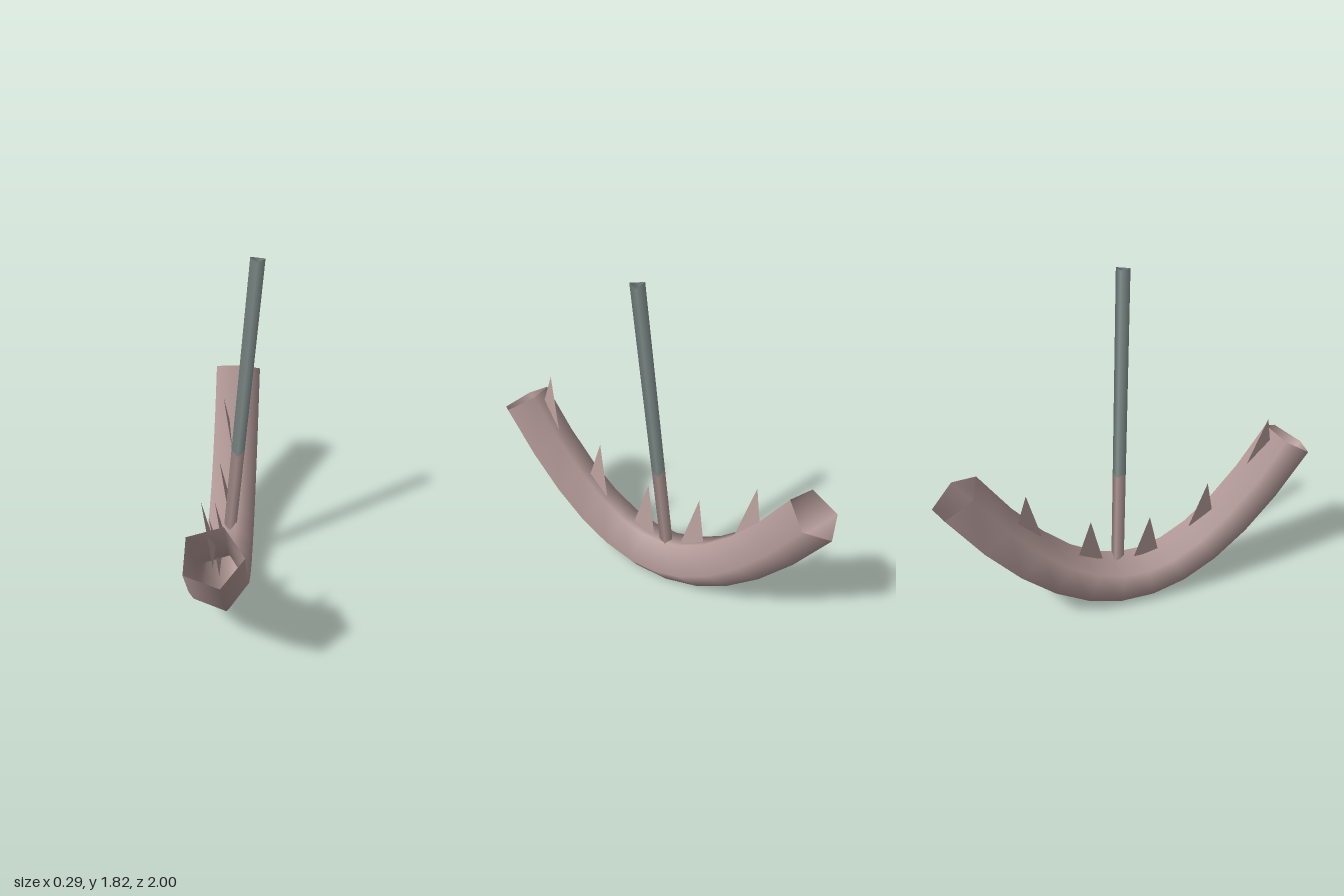
import * as THREE from 'three';

const pink = new THREE.MeshStandardMaterial({ name: 'dusty pink', color: 0xb59c9a, side: THREE.DoubleSide });
const grey = new THREE.MeshStandardMaterial({ name: 'teal grey', color: 0x8a9996, side: THREE.DoubleSide });

const CENTRE_X = -0.034; // middle plane of the curved body
const END_Z = 0.887, LOW_Y = 0.128, RISE = 0.9;
const bodyY = z => LOW_Y + RISE * z * z;

function add(group, name, geometry, material) {
  const mesh = new THREE.Mesh(geometry, material);
  mesh.name = name;
  group.add(mesh);
}

export function createModel() {
  const group = new THREE.Group();
  group.name = 'spikedArcWithPole';

  // Five-sided open tube along a parabola, rings evenly spaced in z
  const endY = bodyY(END_Z);
  const arc = new THREE.QuadraticBezierCurve3(
    new THREE.Vector3(CENTRE_X, endY, END_Z),
    new THREE.Vector3(CENTRE_X, 2 * LOW_Y - endY, 0),
    new THREE.Vector3(CENTRE_X, endY, -END_Z));
  arc.getUtoTmapping = u => u;
  add(group, 'curvedBody', new THREE.TubeGeometry(arc, 11, 0.141, 5), pink);

  // Row of flat spikes leaning towards -x
  for (let i = -2; i <= 2; i++) {
    const z = 0.085 + i * 0.3225, y = bodyY(z);
    const spike = new THREE.BufferGeometry().setFromPoints([
      new THREE.Vector3(-0.037, y + 0.1, z + 0.075),
      new THREE.Vector3(-0.037, y + 0.1, z - 0.075),
      new THREE.Vector3(-0.09, y + 0.397, z)]);
    spike.computeVertexNormals();
    add(group, 'spike' + (i + 3), spike, pink);
  }

  // Leaning three-sided open pole in two colours
  const foot = new THREE.Vector3(-0.025, 0.2, -0.08);
  const tip = new THREE.Vector3(0.11, 1.817, 0.005);
  const joint = foot.clone().lerp(tip, 0.345);
  const pole = (a, b) => new THREE.TubeGeometry(new THREE.LineCurve3(a, b), 1, 0.04, 3);
  add(group, 'lowerPole', pole(foot, joint), pink);
  add(group, 'upperPole', pole(joint, tip), grey);

  return group;
}
